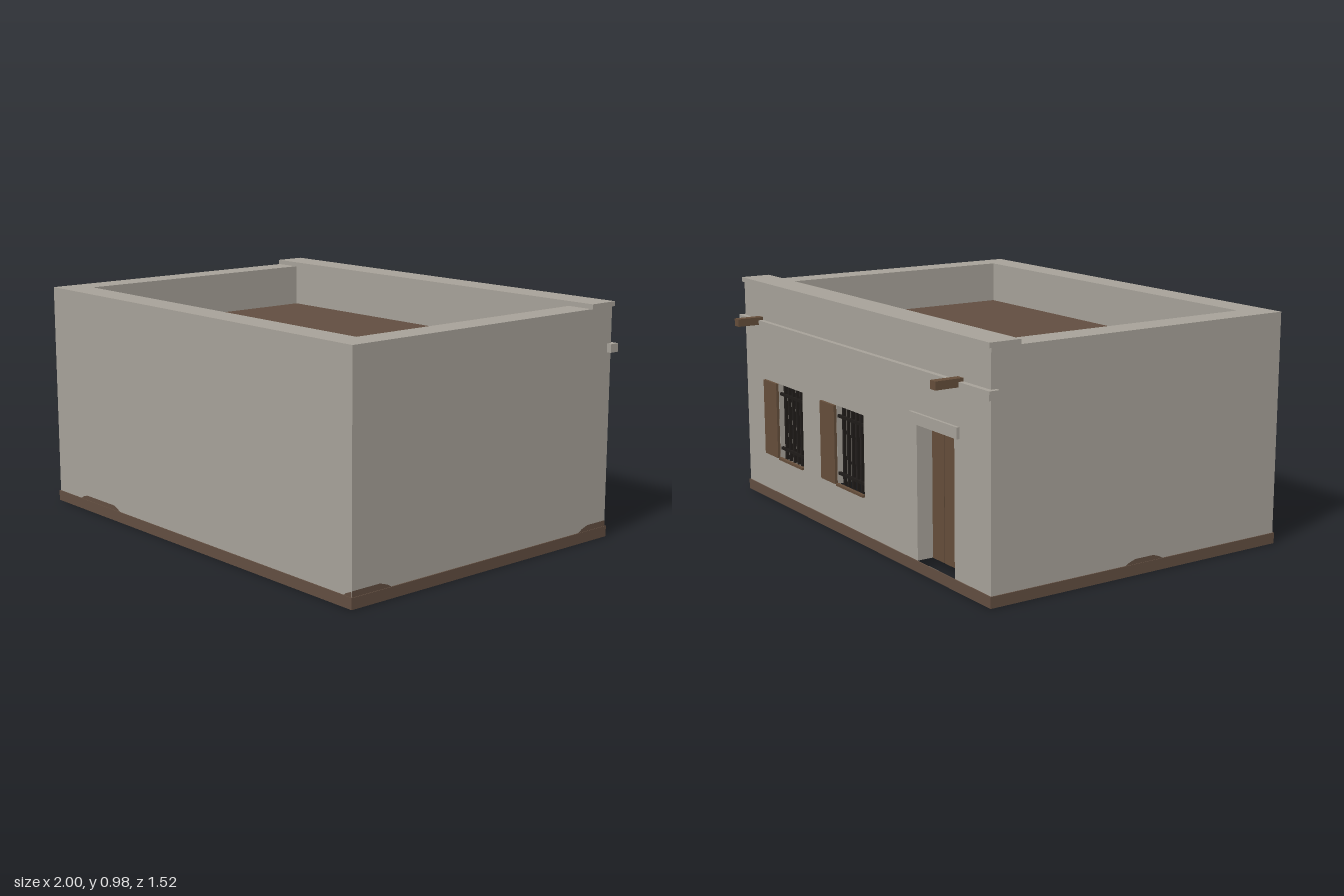
import * as THREE from 'three';

const mat = (name, color, side = THREE.FrontSide) => {
  const m = new THREE.MeshStandardMaterial({ color, side });
  m.name = name;
  return m;
};

export function createModel() {
  const plaster = mat('plaster', 0xa6a198, THREE.DoubleSide);
  const earth = mat('earth brown', 0x614d40, THREE.DoubleSide);
  const wood = mat('wood', 0x644d3a);
  const iron = mat('dark iron', 0x1f1b19);
  const dark = mat('dark interior', 0x2b2524, THREE.DoubleSide);

  const model = new THREE.Group();
  model.name = 'flatRoofedHouse';

  const X = 0.98, ZB = -0.64, ZF = 0.755;       // outer wall faces
  const IX = 0.86, IZB = -0.52, IZF = 0.63;     // parapet inner faces
  const BASE = 0.04, TOP = 0.96, ROOF = 0.78, DEPTH = 0.08;

  const add = (name, geo, material, parent = model) => {
    const m = new THREE.Mesh(geo, material);
    m.name = name;
    parent.add(m);
    return m;
  };
  // box given by its minimum and maximum corners
  const box = (name, x0, x1, y0, y1, z0, z1, material, parent) => {
    const m = add(name, new THREE.BoxGeometry(x1 - x0, y1 - y0, z1 - z0), material, parent);
    m.position.set((x0 + x1) / 2, (y0 + y1) / 2, (z0 + z1) / 2);
    return m;
  };
  const rect = (x0, x1, y0, y1, C = THREE.Shape) => new C([
    new THREE.Vector2(x0, y0), new THREE.Vector2(x1, y0),
    new THREE.Vector2(x1, y1), new THREE.Vector2(x0, y1)]);
  // upright sheet across x (at z) or across z (at x)
  const sheetX = (name, x0, x1, y0, y1, z, flip, material, parent) => {
    const m = add(name, new THREE.PlaneGeometry(x1 - x0, y1 - y0), material, parent);
    m.position.set((x0 + x1) / 2, (y0 + y1) / 2, z);
    if (flip) m.rotation.y = Math.PI;
    return m;
  };
  const sheetZ = (name, z0, z1, y0, y1, x, dir, material, parent) => {
    const m = add(name, new THREE.PlaneGeometry(z1 - z0, y1 - y0), material, parent);
    m.position.set(x, (y0 + y1) / 2, (z0 + z1) / 2);
    m.rotation.y = dir * Math.PI / 2;
    return m;
  };

  // outer walls, the entrance wall pierced by two windows and a door
  const openings = [
    { name: 'window', x0: 0.45, x1: 0.67, y0: 0.21, y1: 0.545 },
    { name: 'window', x0: -0.073, x1: 0.15, y0: 0.21, y1: 0.545 },
    { name: 'door', x0: -0.74, x1: -0.478, y0: 0.045, y1: 0.59 },
  ];
  const back = rect(-X, X, BASE, TOP);
  openings.forEach(o => back.holes.push(rect(o.x0, o.x1, o.y0, o.y1, THREE.Path)));
  const backGeo = new THREE.ShapeGeometry(back);
  backGeo.scale(-1, 1, 1);                       // mirrored, then turned to face -z
  const idx = backGeo.index.array;
  for (let i = 0; i < idx.length; i += 3) [idx[i], idx[i + 1]] = [idx[i + 1], idx[i]];
  backGeo.rotateY(Math.PI);
  backGeo.translate(0, 0, ZB);
  backGeo.computeVertexNormals();
  add('entranceWall', backGeo, plaster);
  sheetX('plainWall', -X, X, BASE, TOP, ZF, false, plaster);
  for (const s of [-1, 1]) sheetZ('sideWall', ZB, ZF, BASE, TOP, s * X, s, plaster);

  // parapet rim, its inner faces and the sunken roof
  const rim = rect(-X, X, -ZF, -ZB);
  rim.holes.push(rect(-IX, IX, -IZF, -IZB, THREE.Path));
  const rimMesh = add('parapetRim', new THREE.ShapeGeometry(rim), plaster);
  rimMesh.rotation.x = -Math.PI / 2;
  rimMesh.position.y = TOP;
  sheetX('parapetInner', -IX, IX, ROOF, TOP, IZF, true, plaster);
  sheetX('parapetInner', -IX, IX, ROOF, TOP, IZB, false, plaster);
  for (const s of [-1, 1]) sheetZ('parapetInner', IZB, IZF, ROOF, TOP, s * IX, -s, plaster);
  const roof = add('roof', new THREE.PlaneGeometry(2 * IX, IZF - IZB), earth);
  roof.rotation.x = -Math.PI / 2;
  roof.position.set(0, ROOF, (IZF + IZB) / 2);

  // thin skirting band round the foot
  const band = rect(-0.985, 0.985, -0.76, 0.645);
  band.holes.push(rect(-0.9805, 0.9805, -0.7555, 0.6405, THREE.Path));
  const skirt = add('skirting',
    new THREE.ExtrudeGeometry(band, { depth: 0.045, bevelEnabled: false }), earth);
  skirt.rotation.x = -Math.PI / 2;

  // mud splashes: low humps lying on the walls
  const splash = (a, b, h, p, ry, taperA = 0.05, taperB = 0.05) => {
    const s = new THREE.Shape();
    s.moveTo(a, 0);
    s.lineTo(b, 0);
    s.lineTo(b - taperB * 0.4, h * 0.55);
    s.lineTo(b - taperB, h);
    s.lineTo(a + taperA, h);
    s.lineTo(a + taperA * 0.4, h * 0.55);
    const m = add('mudSplash', new THREE.ShapeGeometry(s), earth);
    m.position.set(...p);
    m.rotation.y = ry;
  };
  const Q = Math.PI / 2;
  splash(-0.81, -0.5, 0.022, [0, 0.043, ZF + 0.002], 0);
  splash(0.935, X, 0.022, [0, 0.043, ZF + 0.002], 0, 0.04, 0);
  splash(-ZF, -0.56, 0.026, [X + 0.002, 0.043, 0], Q, 0, 0.06);
  splash(0.47, -ZB, 0.026, [X + 0.002, 0.043, 0], Q, 0.06, 0);
  splash(-0.02, 0.17, 0.022, [-X - 0.002, 0.043, 0], -Q);
  splash(-0.32, -0.14, 0.02, [-IX + 0.002, ROOF, 0], Q);

  // coping, string course and roof spouts of the entrance side
  box('coping', -0.985, 0.985, TOP, 0.98, -0.65, -0.515, plaster);
  box('stringCourse', -1, 1, 0.775, 0.81, -0.662, -0.617, plaster);
  for (const x of [-0.785, 0.822]) box('roofSpout', x - 0.018, x + 0.018, 0.79, 0.823, -0.76, -0.6, wood);

  // recesses, open at the foot
  for (const o of openings) {
    const g = new THREE.Group();
    g.name = o.name;
    model.add(g);
    const zi = ZB + DEPTH;
    sheetZ('jamb', ZB, zi, o.y0, o.y1, o.x0, 1, plaster, g);
    sheetZ('jamb', ZB, zi, o.y0, o.y1, o.x1, -1, plaster, g);
    const head = add('head', new THREE.PlaneGeometry(o.x1 - o.x0, DEPTH), plaster, g);
    head.rotation.x = Q;
    head.position.set((o.x0 + o.x1) / 2, o.y1, ZB + DEPTH / 2);
    const w = o.x1 - o.x0;

    if (o.name === 'door') {
      // three planks before a dark backing, with a lintel above
      box('doorBacking', o.x0, o.x1, o.y0, o.y1, zi - 0.002, zi + 0.015, wood, g);
      sheetX('doorSeams', o.x0, o.x1, o.y0, o.y1, zi - 0.003, true, dark, g);
      for (let i = 0; i < 3; i++)
        box('doorPlank', o.x0 + w * i / 3 + 0.002, o.x0 + w * (i + 1) / 3 - 0.002,
          o.y0, o.y1, zi - 0.012, zi, wood, g);
      box('lintel', -0.775, -0.443, 0.59, 0.635, -0.652, -0.63, plaster, g);
    } else {
      sheetX('darkPane', o.x0, o.x1, o.y0, o.y1, zi, true, dark, g);
      // iron grille
      for (let i = 1; i <= 5; i++) {
        const x = o.x0 + w * i / 6;
        box('bar', x - 0.006, x + 0.006, o.y0, o.y1, -0.632, -0.62, iron, g);
      }
      for (const y of [0.255, 0.5])
        box('crossBar', o.x0, o.x1, y - 0.006, y + 0.006, -0.636, -0.624, iron, g);
      box('sill', o.x0, o.x1, 0.203, 0.213, -0.65, -0.635, wood, g);
      // open shutter folded flat on the wall
      box('shutter', o.x1, o.x1 + 0.122, 0.21, 0.545, -0.653, -0.641, wood, g);
    }
  }
  return model;
}
